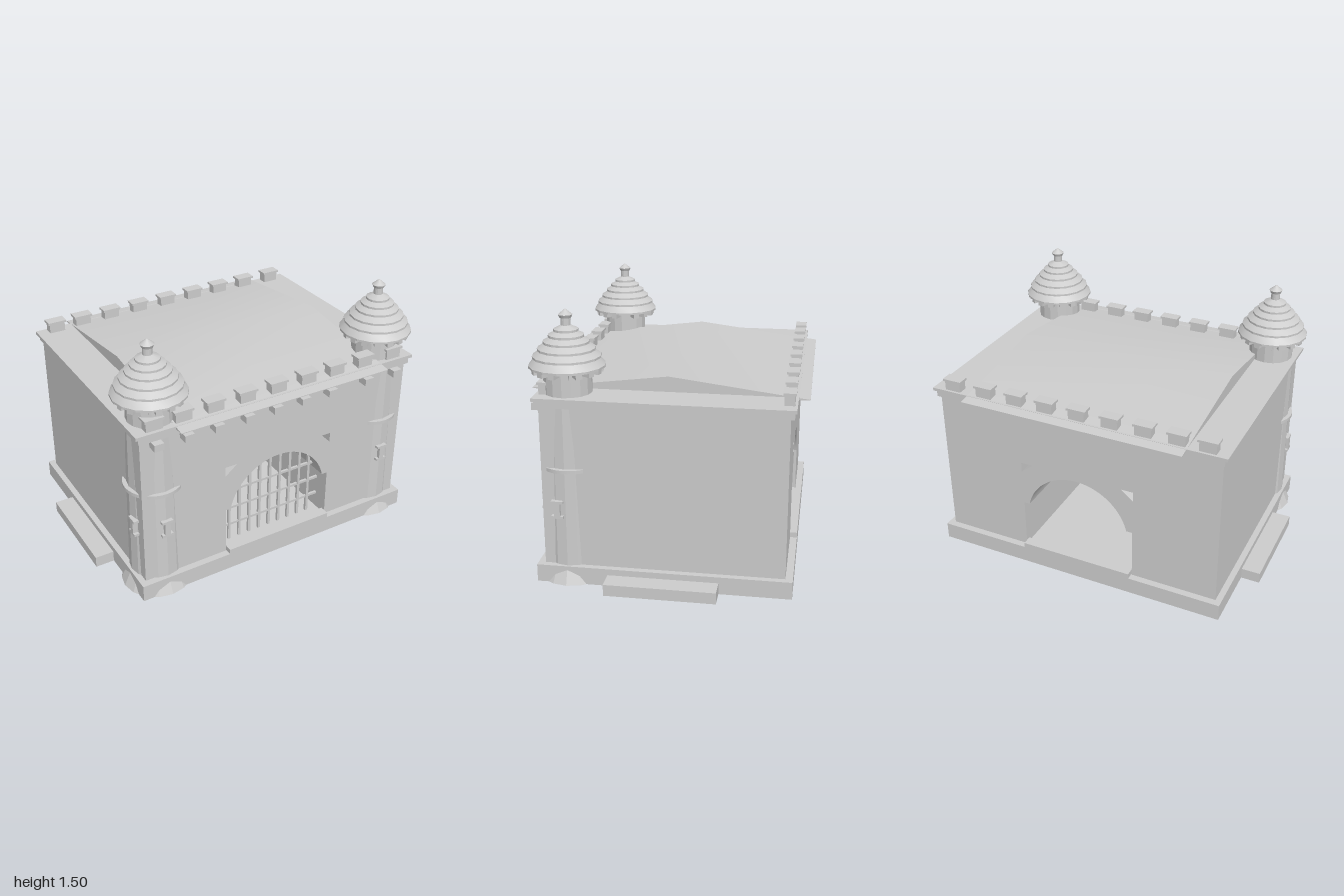
import * as THREE from 'three';
import { toCreasedNormals } from 'three/addons/utils/BufferGeometryUtils.js';

const stone = new THREE.MeshStandardMaterial({ color: 0xcccccc });
stone.name = 'stone';

export function createModel() {
  const model = new THREE.Group();
  model.name = 'gatehouse';

  const add = (name, geometry, x = 0, y = 0, z = 0, parent = model) => {
    const mesh = new THREE.Mesh(toCreasedNormals(geometry, 0.35), stone);
    mesh.name = name;
    mesh.position.set(x, y, z);
    parent.add(mesh);
    return mesh;
  };
  // Box given by its width, depth and its bottom and top heights
  const slab = (name, w, d, y0, y1, x = 0, z = 0, parent = model) =>
    add(name, new THREE.BoxGeometry(w, y1 - y0, d), x, (y0 + y1) / 2, z, parent);
  // Sixteen-sided drum between two heights
  const drum = (name, rTop, rBottom, y0, y1, parent) =>
    add(name, new THREE.CylinderGeometry(rTop, rBottom, y1 - y0, 16), 0, (y0 + y1) / 2, 0, parent);
  const polygon = (points) => new THREE.Shape(points.map(([x, y]) => new THREE.Vector2(x, y)));

  // Plinth, side steps and thresholds
  slab('plinth', 1.78, 1.4, 0, 0.1);
  for (const s of [-1, 1]) {
    slab('sideStep', 0.15, 0.61, 0, 0.065, s * 0.925, 0);
    slab('threshold', 0.68, 0.06, 0.1, 0.13, 0, s * 0.67);
  }

  // Main block with the arched passage and two triangular openings right through
  const walls = new THREE.Shape();
  const radius = 0.319, archY = 0.326, spring = Math.asin((0.4 - archY) / radius);
  walls.moveTo(-0.855, 0.1);
  walls.lineTo(-0.345, 0.1);
  walls.lineTo(-0.345, 0.4);
  walls.lineTo(-0.31, 0.4);
  walls.absarc(0, archY, radius, Math.PI - spring, spring, true);
  walls.lineTo(0.345, 0.4);
  walls.lineTo(0.345, 0.1);
  walls.lineTo(0.855, 0.1);
  walls.lineTo(0.855, 1.0);
  walls.lineTo(-0.855, 1.0);
  for (const s of [-1, 1]) {
    const points = [[s * 0.35, 0.675], [s * 0.275, 0.675], [s * 0.35, 0.615]];
    walls.holes.push(new THREE.Path(points.map(([x, y]) => new THREE.Vector2(x, y))));
  }
  add('walls', new THREE.ExtrudeGeometry(walls, { depth: 1.32, bevelEnabled: false, curveSegments: 32 }), 0, 0, -0.66);

  // Portcullis
  const grate = new THREE.Group();
  grate.name = 'portcullis';
  model.add(grate);
  for (let i = -4; i <= 4; i++) {
    const x = i * 0.068;
    const top = Math.min(0.61, archY + Math.sqrt(radius * radius - x * x) + 0.005);
    slab('uprightBar', 0.016, 0.016, 0.1, top, x, 0.57, grate);
  }
  for (const y of [0.205, 0.32, 0.44]) {
    slab('crossBar', y > 0.4 ? 0.6 : 0.68, 0.014, y - 0.007, y + 0.007, 0, 0.57, grate);
  }

  // Cornice
  slab('corniceLower', 1.735, 1.36, 1.0, 1.037);
  slab('corniceUpper', 1.77, 1.38, 1.037, 1.055);

  // Shallow gabled roof
  const gable = polygon([[-0.75, 1.042], [0.75, 1.042], [0.75, 1.046], [0, 1.14], [-0.75, 1.046]]);
  const roof = new THREE.ExtrudeGeometry(gable, { depth: 1.32, bevelEnabled: false });
  roof.translate(0, 0, -0.66).rotateY(Math.PI / 2);
  add('roof', roof);

  // Capped merlons along the front and back
  for (const x of [-0.77, -0.6, -0.41, -0.215, -0.02, 0.175, 0.365, 0.56, 0.76]) {
    for (const z of [-0.648, 0.642]) {
      slab('merlon', 0.095, 0.055, 1.05, 1.11, x, z);
      slab('merlonCap', 0.113, 0.068, 1.11, 1.123, x, z);
    }
  }
  // Corbels below the front cornice
  for (const x of [-0.77, -0.595, -0.415, -0.23, -0.05, 0.13, 0.31, 0.56, 0.76]) {
    slab('corbel', 0.056, 0.07, 0.96, 1.0, x, 0.685);
  }

  // I-shaped wall anchor, facing +z
  const anchorShape = polygon([
    [-0.033, -0.05], [0.033, -0.05], [0.033, -0.036], [0.016, -0.036], [0.016, 0.036], [0.033, 0.036],
    [0.033, 0.05], [-0.033, 0.05], [-0.033, 0.036], [-0.016, 0.036], [-0.016, -0.036], [-0.033, -0.036],
  ]);
  const anchor = () => new THREE.ExtrudeGeometry(anchorShape, { depth: 0.035, bevelEnabled: false });

  // Stepped conical turret roof
  const tiers = [[0.205, 1.195], [0.183, 1.245], [0.155, 1.285], [0.124, 1.322], [0.095, 1.355], [0.066, 1.385]];
  const profile = [new THREE.Vector2(0, 1.195)];
  tiers.forEach(([r, y], i) => {
    const [nextR, nextY] = tiers[i + 1] || [0.03, 1.42];
    profile.push(new THREE.Vector2(r, y), new THREE.Vector2(r, y + 0.012));
    profile.push(new THREE.Vector2(nextR - 0.012, nextY));
  });
  profile.push(new THREE.Vector2(0, 1.42));

  // Front corner turrets
  for (const s of [-1, 1]) {
    const turret = new THREE.Group();
    turret.name = s > 0 ? 'leftTurret' : 'rightTurret';
    turret.position.set(s * 0.725, 0, 0.53);
    model.add(turret);
    drum('turretFoot', 0.155, 0.2, 0, 0.1, turret);
    drum('turretShaft', 0.137, 0.152, 0.1, 1.0, turret);
    drum('turretDrum', 0.13, 0.13, 1.0, 1.196, turret);
    add('turretBand', new THREE.CylinderGeometry(0.165, 0.165, 0.02, 32), 0, 0.652, 0, turret);
    add('frontAnchor', anchor(), 0, 0.43, 0.13, turret);
    add('sideAnchor', anchor(), s * 0.125, 0.43, 0.045, turret).rotation.y = s * Math.PI / 2;
    for (let i = 0; i < 16; i++) {
      const a = (i + 0.5) * Math.PI / 8;
      slab('turretCorbel', 0.035, 0.065, 1.167, 1.197, Math.sin(a) * 0.157, Math.cos(a) * 0.157, turret).rotation.y = a;
    }
    add('turretRoof', new THREE.LatheGeometry(profile, 16), 0, 0, 0, turret);
    drum('finialStem', 0.026, 0.026, 1.41, 1.465, turret);
    drum('finialCapRim', 0.038, 0.03, 1.455, 1.472, turret);
    drum('finialCap', 0.004, 0.038, 1.472, 1.5, turret);
  }
  return model;
}
